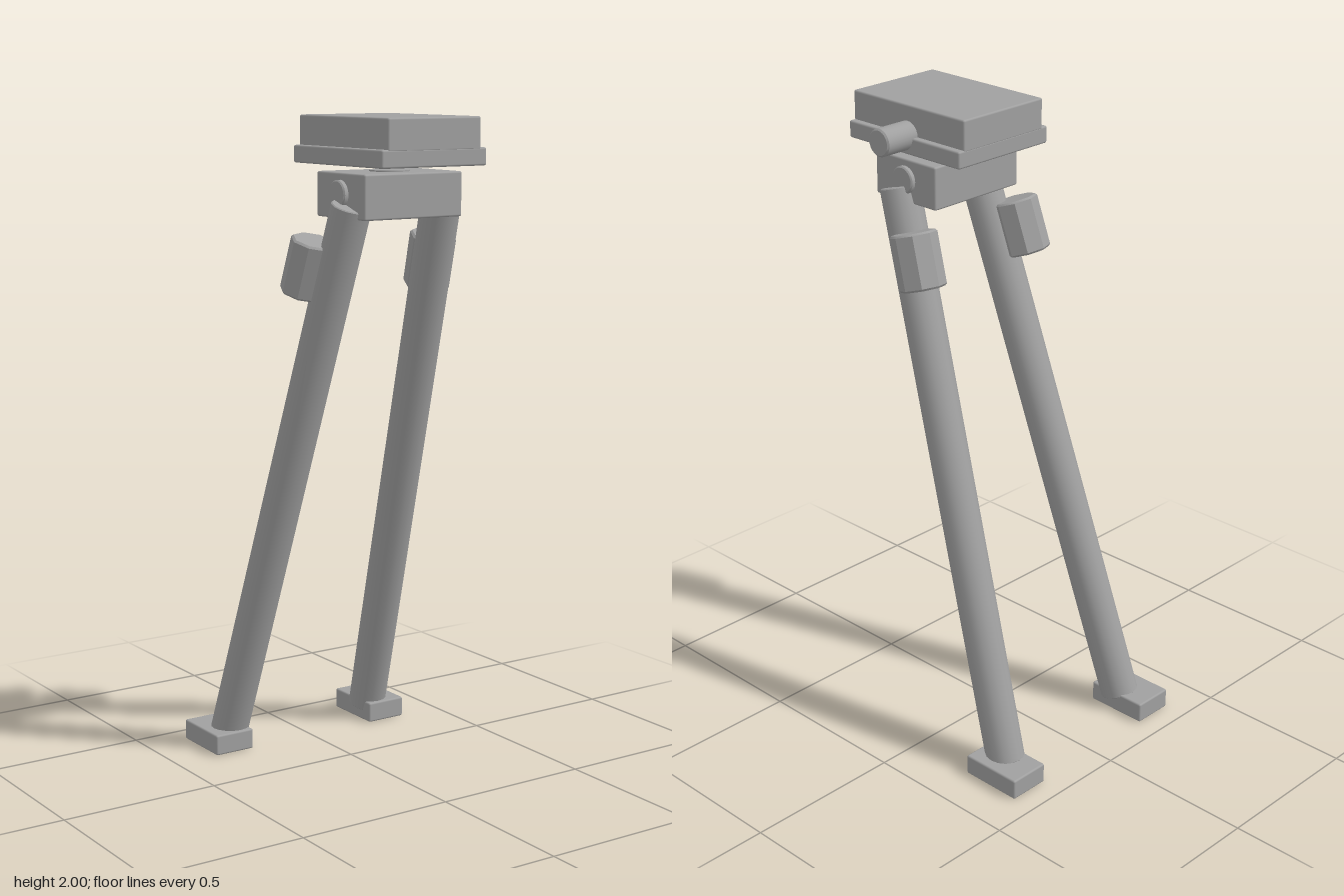
import * as THREE from 'three';
import { RoundedBoxGeometry } from 'three/addons/geometries/RoundedBoxGeometry.js';
import { toCreasedNormals } from 'three/addons/utils/BufferGeometryUtils.js';

const UP = new THREE.Vector3(0, 1, 0);

export function createModel() {
  const model = new THREE.Group();
  model.name = 'bipod';
  const gray = new THREE.MeshStandardMaterial({ color: 0xa0a0a0 });
  gray.name = 'gray';

  function add(name, geometry, x, y, z) {
    const mesh = new THREE.Mesh(geometry, gray);
    mesh.name = name;
    mesh.position.set(x, y, z);
    model.add(mesh);
    return mesh;
  }

  // Box with softened edges, given by its size and its centre
  const box = (name, w, h, d, x, y, z) =>
    add(name, new RoundedBoxGeometry(w, h, d, 2, 0.006), x, y, z);

  // Cylinder with a small bevel at both ends, along y
  function rod(radius, length, sides, bevel) {
    const h = length / 2;
    const profile = [[0, -h], [radius - bevel, -h], [radius, bevel - h],
      [radius, h - bevel], [radius - bevel, h], [0, h]];
    const points = profile.map(([x, y]) => new THREE.Vector2(x, y));
    return toCreasedNormals(new THREE.LatheGeometry(points, sides), 0.6);
  }

  // Mounting head: wide clamp plate with a block on top
  box('clampPlate', 0.366, 0.052, 0.458, 0, 1.886, 0.196);
  box('clampBlock', 0.324, 0.095, 0.458, 0, 1.9525, 0.196);

  // Tightening knob on the left side
  add('clampKnob', rod(0.042, 0.15, 24, 0.005), 0.203, 1.911, 0.197).rotation.z = Math.PI / 2;

  // Pivot block with swivel disc and cross pin
  box('pivotBlock', 0.344, 0.131, 0.248, 0, 1.7745, 0.2);
  add('swivelDisc', new THREE.CylinderGeometry(0.06, 0.06, 0.02, 24), 0, 1.834, 0.2);
  add('pivotPin', rod(0.042, 0.374, 24, 0.004), 0, 1.778, 0.2).rotation.z = Math.PI / 2;

  // Splayed legs, each with a lock collar and a foot
  for (const side of [1, -1]) {
    const label = side > 0 ? 'left' : 'right';
    const top = new THREE.Vector3(0.159 * side, 1.746, 0.238);
    const bottom = new THREE.Vector3(0.268 * side, 0.045, -0.303);
    const middle = top.clone().add(bottom).multiplyScalar(0.5);
    const axis = top.clone().sub(bottom);
    const length = axis.length();
    const tilt = new THREE.Quaternion().setFromUnitVectors(UP, axis.normalize());

    add(label + 'Leg', rod(0.06, length, 16, 0.003), middle.x, middle.y, middle.z)
      .quaternion.copy(tilt);
    add(label + 'LegLock', rod(0.071, 0.168, 8, 0.006), 0.218 * side, 1.563, 0.103)
      .quaternion.copy(tilt);
    box(label + 'Foot', 0.134, 0.065, 0.203, 0.292 * side, 0.0325, -0.325);
  }
  return model;
}
